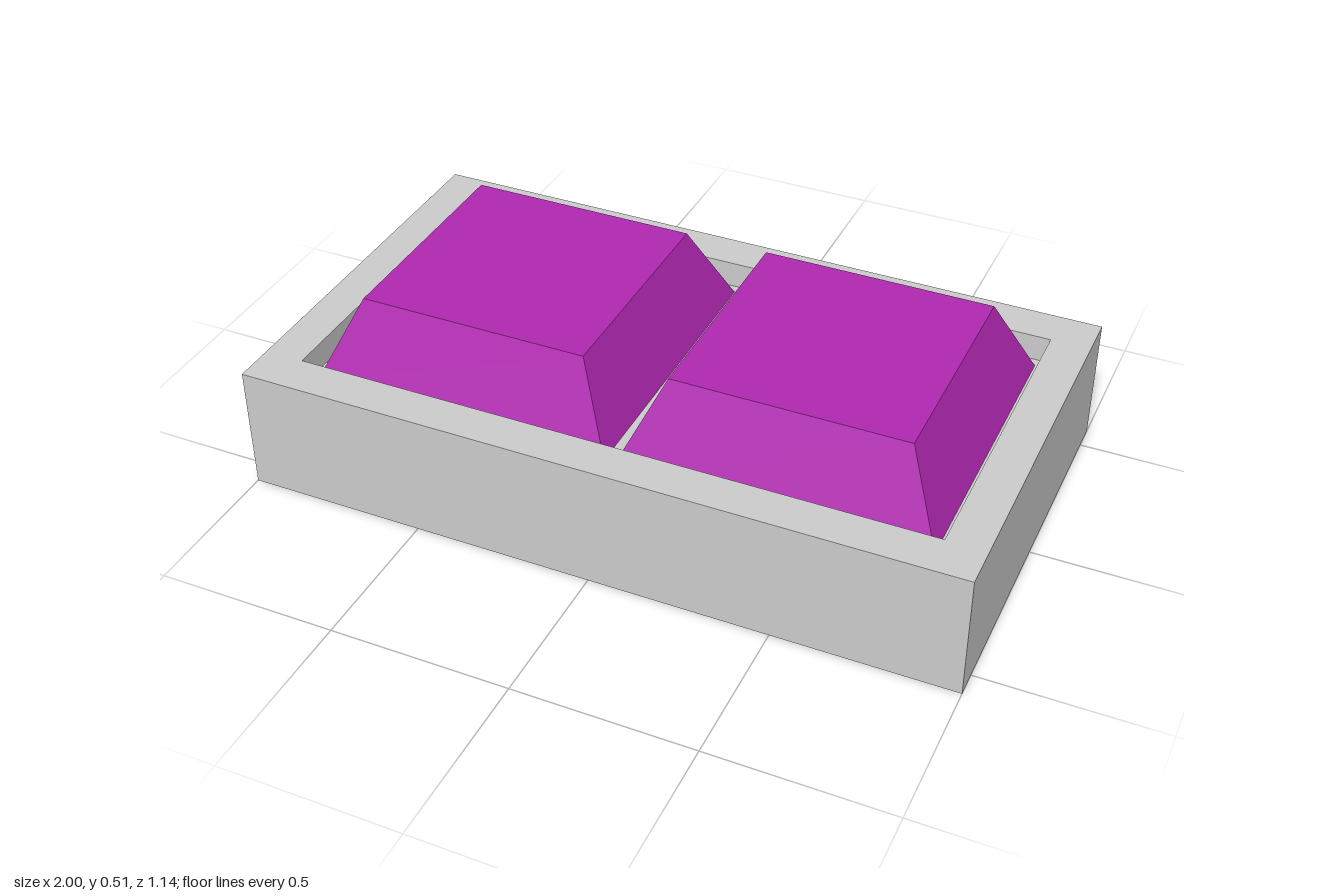
import * as THREE from 'three';

// Joins rectangular sections [halfX, halfZ, y] in order and caps both ends
function rectLoft(sections) {
  const corners = [[-1, 1], [1, 1], [1, -1], [-1, -1]];
  const rings = sections.map(([hx, hz, y]) => corners.map(([sx, sz]) => [sx * hx, y, sz * hz]));
  const pos = [];
  const quad = (a, b, c, d) => pos.push(...a, ...b, ...c, ...a, ...c, ...d);
  for (let k = 0; k < rings.length - 1; k++) {
    for (let i = 0; i < 4; i++) {
      const j = (i + 1) % 4;
      quad(rings[k][i], rings[k][j], rings[k + 1][j], rings[k + 1][i]);
    }
  }
  quad(...[...rings[0]].reverse());
  quad(...rings[rings.length - 1]);
  const geo = new THREE.BufferGeometry();
  geo.setAttribute('position', new THREE.Float32BufferAttribute(pos, 3));
  geo.computeVertexNormals();
  return geo;
}

export function createModel() {
  const group = new THREE.Group();
  const grey = new THREE.MeshStandardMaterial({ color: 0xcccccc, flatShading: true });
  const purple = new THREE.MeshStandardMaterial({ color: 0xaf28b0, flatShading: true });
  const floorY = 0.28, rimY = 0.355, keyTopY = 0.507;

  // Tray: outer wall, flat rim, then down into the recess
  const tray = new THREE.Mesh(rectLoft([
    [1, 0.57, 0], [1, 0.57, rimY], [0.89, 0.453, rimY], [0.89, 0.453, floorY],
  ]), grey);
  tray.name = 'tray';
  group.add(tray);

  // Two tapered keys standing in the recess
  const keyGeo = rectLoft([[0.425, 0.425, floorY], [0.322, 0.322, keyTopY]]);
  for (const [name, x] of [['rightKey', -0.443], ['leftKey', 0.437]]) {
    const key = new THREE.Mesh(keyGeo, purple);
    key.name = name;
    key.position.x = x;
    group.add(key);
  }
  return group;
}
